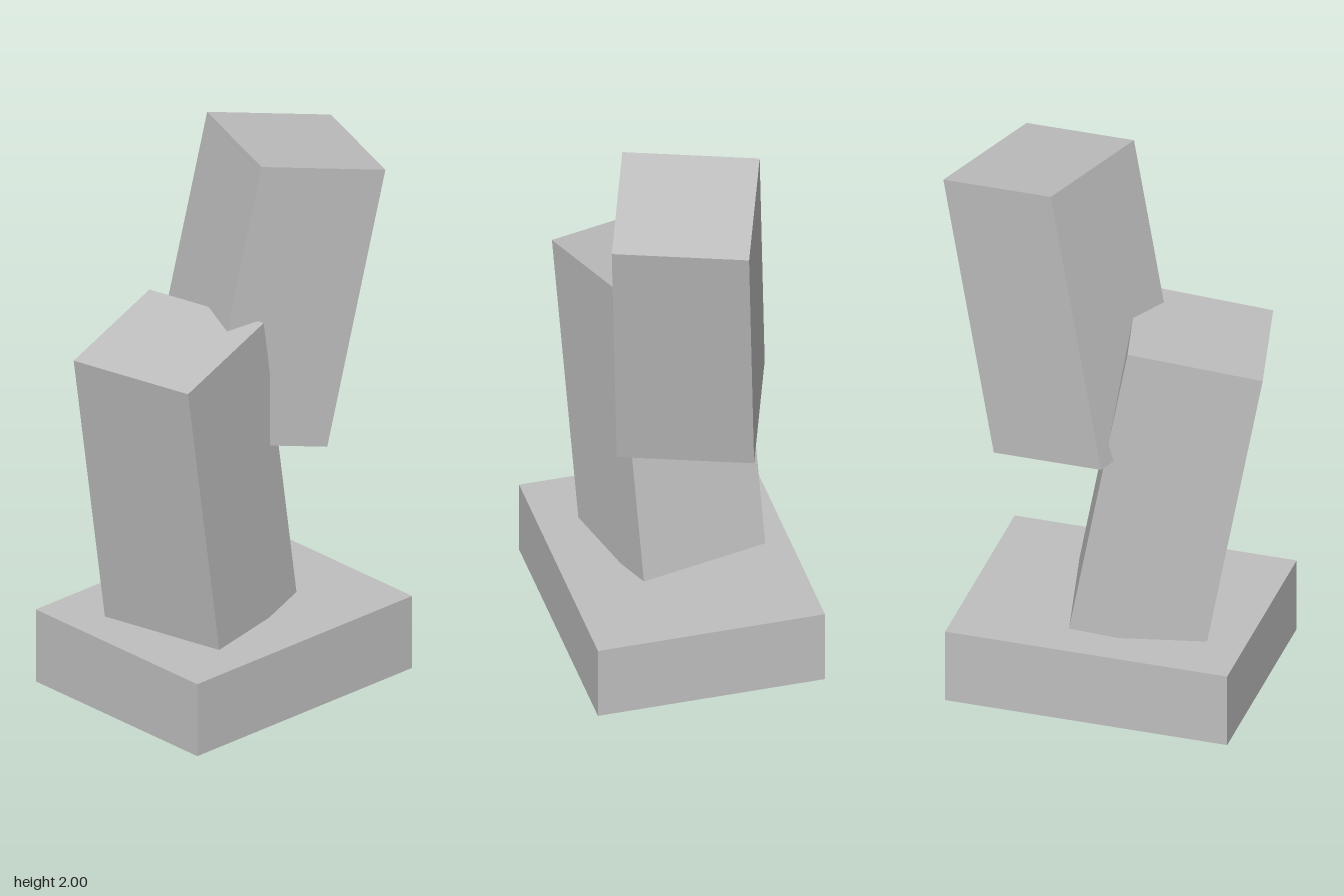
import * as THREE from 'three';

export function createModel() {
  const model = new THREE.Group();
  const grey = new THREE.MeshStandardMaterial({ color: 0xbfbfbf });
  grey.name = 'plain grey';

  // A box placed by its centre, turned about y and then tilted sideways
  function block(name, size, centre, turn = 0, tilt = 0) {
    const mesh = new THREE.Mesh(new THREE.BoxGeometry(...size), grey);
    mesh.name = name;
    mesh.position.set(...centre);
    mesh.rotation.set(0, turn, tilt, 'YZX');
    model.add(mesh);
  }

  // Flat slab on the ground
  block('base', [1.015, 0.275, 0.81], [-0.027, 0.1375, 0]);

  // Leaning block sunk into the base, and the upper block leaning the other way
  block('lowerBlock', [0.474, 1.127, 0.474], [-0.2085, 0.8175, -0.0025], 0.223, 0.18);
  block('upperBlock', [0.474, 1.04, 0.474], [0.178, 1.4425, -0.001], -0.349, -0.211);

  return model;
}
